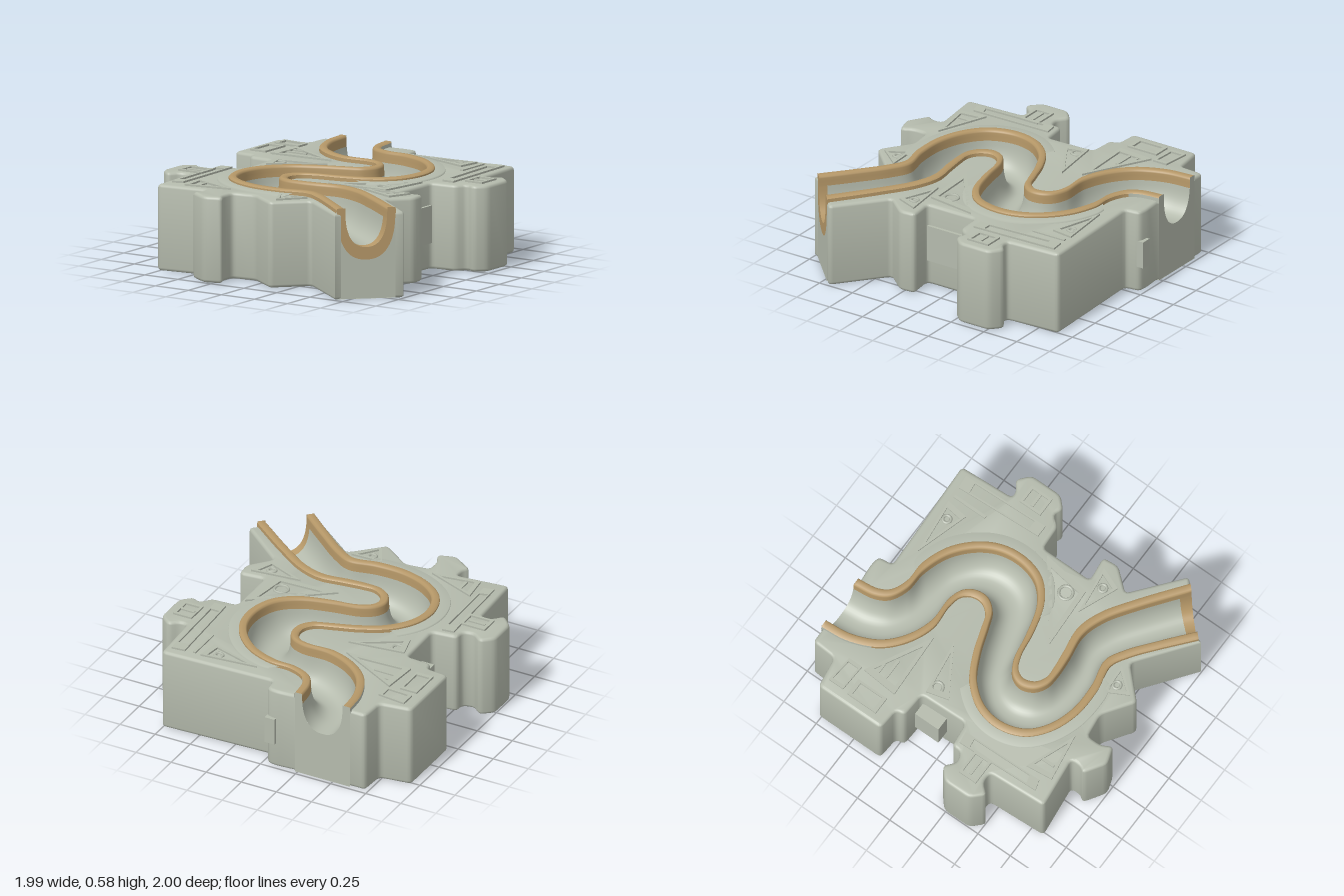
import * as THREE from 'three';
import { toCreasedNormals } from 'three/addons/utils/BufferGeometryUtils.js';

const TOP = 0.55, RIM_TOP = 0.582;
const stone = new THREE.MeshStandardMaterial({ color: 0xb5bbad, side: THREE.DoubleSide });
stone.name = 'greyStone';
const gold = new THREE.MeshStandardMaterial({ color: 0xb69868, side: THREE.DoubleSide });
gold.name = 'ochreRim';

// Matching points on the two rims of the winding channel: [x, z]
const railA = [[-.6, -.98], [-.58, -.8], [-.5, -.62], [-.37, -.5], [-.2, -.43], [-.02, -.43], [.07, -.4], [.115, -.34],
  [.12, -.26], [.07, -.19], [-.03, -.15], [-.2, -.09], [-.36, 0], [-.47, .14], [-.5, .3], [-.45, .46], [-.33, .57],
  [-.15, .635], [.05, .64], [.23, .61], [.35, .67], [.53, .81], [.71, .96]];
const railB = [[-.26, -.98], [-.24, -.84], [-.19, -.76], [-.08, -.71], [.07, -.7], [.25, -.63], [.39, -.5], [.46, -.36],
  [.47, -.2], [.42, -.06], [.3, .04], [.1, .1], [-.07, .13], [-.16, .18], [-.19, .25], [-.16, .33], [-.09, .375],
  [0, .38], [.12, .37], [.3, .35], [.46, .4], [.66, .53], [.94, .74]];
const curve = (pts) => new THREE.CatmullRomCurve3(pts.map(([x, z]) => new THREE.Vector3(x, 0, z)));
const curveA = curve(railA), curveB = curve(railB);
const LAST = railA.length - 1;

// Outer outlines of the two halves of the block, back to front
const outlineA = [[-.62, -.97], [-.73, -.97], [-.74, -.8], [-.95, -.77], [-.95, -.29], [-.8, -.28], [-.79, -.22], [-.62, -.21],
  [-.61, .12], [-.78, .14], [-.78, .21], [-.85, .23], [-.92, .17], [-1, .24], [-1, .43], [-.92, .51], [-.86, .44], [-.79, .44],
  [-.77, .84], [-.42, .8], [-.42, .87], [-.45, .91], [-.31, 1], [-.19, .96], [-.23, .89], [-.23, .79], [-.07, .77],
  [.13, .91], [.32, .72], [.69, 1]];
const outlineB = [[-.22, -.97], [-.1, -.98], [-.03, -.97], [-.02, -.87], [.76, -.9], [.78, -.53], [.83, -.53], [.89, -.58],
  [.97, -.51], [.97, -.29], [.9, -.22], [.84, -.25], [.79, -.18], [.62, -.17], [.62, .19], [.79, .17], [.8, .28],
  [.68, .42], [1, .68], [.96, .72]];

function add(group, name, geometry, material) {
  const mesh = new THREE.Mesh(geometry, material);
  mesh.name = name;
  group.add(mesh);
  return mesh;
}

// Softens the corners of an open outline
function roundCorners(pts, r = 0.03) {
  const v = pts.map(([x, z]) => new THREE.Vector2(x, -z));
  return v.flatMap((p, i) => {
    if (i === 0 || i === v.length - 1) return [p];
    const cut = (q) => p.clone().lerp(q, Math.min(0.4, r / p.distanceTo(q)));
    return new THREE.QuadraticBezierCurve(cut(v[i - 1]), p, cut(v[i + 1])).getPoints(3);
  });
}

// One half of the block, bounded inside by a rim curve
function halfBlock(outline, rail) {
  const inner = rail.getPoints(110).reverse().map((p) => new THREE.Vector2(p.x, -p.z));
  const shape = new THREE.Shape([...roundCorners(outline), ...inner]);
  const geo = new THREE.ExtrudeGeometry(shape, {
    depth: TOP - 0.04, bevelEnabled: true, bevelSize: 0.02, bevelThickness: 0.02, bevelOffset: -0.02, bevelSegments: 3,
  });
  geo.translate(0, 0, 0.02).rotateX(-Math.PI / 2);
  return toCreasedNormals(geo, 0.7);
}

// Surface through a grid of points
function grid(rows) {
  const n = rows[0].length, pos = [], index = [];
  rows.forEach((row) => row.forEach((p) => pos.push(p.x, p.y, p.z)));
  for (let i = 0; i < rows.length - 1; i++) for (let j = 0; j < n - 1; j++) {
    const a = i * n + j, b = a + n;
    index.push(a, a + 1, b, b, a + 1, b + 1);
  }
  const geo = new THREE.BufferGeometry();
  geo.setAttribute('position', new THREE.Float32BufferAttribute(pos, 3));
  geo.setIndex(index);
  geo.computeVertexNormals();
  return geo;
}

// Cross-section frame at t: maps a sideways distance and height to a point
function section(t) {
  const a = curveA.getPoint(t), b = curveB.getPoint(t);
  const mid = a.clone().add(b).multiplyScalar(0.5), w = a.distanceTo(b) / 2;
  const dir = b.clone().sub(a).normalize();
  return { w, at: (s, y) => mid.clone().addScaledVector(dir, s).setY(y) };
}
function sweep(profile, t0 = 0, t1 = 1, steps = 200) {
  const rows = [];
  for (let i = 0; i <= steps; i++) {
    const t = t0 + (t1 - t0) * i / steps, s = section(t);
    rows.push(profile(s.w, t).map(([d, y]) => s.at(d, y)));
  }
  return grid(rows);
}

// U-shaped trough profile between two angles
function trough(halfWidth, depth, from, to, n = 20) {
  return Array.from({ length: n + 1 }, (_, i) => {
    const a = from + (to - from) * i / n;
    return [Math.sign(a) * Math.abs(Math.sin(a)) ** 0.85 * halfWidth, RIM_TOP - depth * Math.max(0, Math.cos(a)) ** 0.75];
  });
}
const EDGE = 1.38;
const troughFloor = (w) => trough(w - 0.026, 0.25, -EDGE, EDGE, 24);

// Underside groove with rounded ends
const G0 = 0.09, G1 = 0.9;
const endFade = (t) => THREE.MathUtils.smoothstep(t, G0, G0 + 0.05) * (1 - THREE.MathUtils.smoothstep(t, G1 - 0.05, G1));
// The ochre edge of the groove is broad near the ends and narrow between
const grooveEdge = (t) => 1.4 - 0.3 * (1 - THREE.MathUtils.smoothstep(t, 0.18, 0.28) * (1 - THREE.MathUtils.smoothstep(t, 0.72, 0.8)));
function groove(w, t, from, to, n = 16) {
  const fade = endFade(t);
  return Array.from({ length: n + 1 }, (_, i) => {
    const a = from + (to - from) * i / n;
    return [Math.sin(a) * (w - 0.02) * Math.sqrt(fade), 0.004 + 0.2 * fade * Math.max(0, Math.cos(a)) ** 0.75];
  });
}

// End face of the channel: U-shaped lip with the block beneath
function endFace(group, name, t, lipMaterial) {
  const s = section(t), h = Math.PI / 2;
  const place = (list) => list.map(([d, y]) => s.at(d, y));
  const inner = trough(s.w - 0.026, 0.25, -h, h, 32), outer = trough(s.w + 0.026, 0.33, -h, h, 32);
  add(group, name + 'Lip', grid([place(inner), place(outer)]), lipMaterial);
  add(group, name + 'Face', grid([place(outer.map(([d, y]) => [d, Math.min(y, TOP)])), place(outer.map(([d]) => [d, 0.004]))]), stone);
}

// Low raised border following a polygon
function frame(group, name, pts, inset = 0.65) {
  const v = pts.map(([x, z]) => new THREE.Vector2(x, -z));
  const c = v.reduce((sum, p) => sum.add(p), new THREE.Vector2()).divideScalar(v.length);
  const shape = new THREE.Shape(v);
  shape.holes.push(new THREE.Path(v.map((p) => c.clone().lerp(p, inset)).reverse()));
  const geo = new THREE.ExtrudeGeometry(shape, { depth: 0.016, bevelEnabled: false });
  add(group, name, geo.rotateX(-Math.PI / 2).translate(0, TOP - 0.004, 0), stone);
}

export function createModel() {
  const model = new THREE.Group();
  model.name = 'channelTile';

  // Block halves
  add(model, 'leftBlock', halfBlock(outlineA, curveA), stone);
  add(model, 'rightBlock', halfBlock(outlineB, curveB), stone);

  // Channel floor, with an ochre strip at the front mouth
  add(model, 'channelFloor', sweep(troughFloor, 0, 0.99), stone);
  add(model, 'frontMouth', sweep(troughFloor, 0.99, 1, 2), gold);

  // Ochre rims and the underside
  for (const side of [-1, 1]) {
    const mirror = (list) => list.map(([d, y]) => [side * d, y]);
    add(model, 'channelRim', sweep((w) => mirror([[w + 0.028, 0.572], [w + 0.015, RIM_TOP], [w - 0.015, RIM_TOP],
      [w - 0.024, 0.572], ...trough(w - 0.026, 0.25, 1.54, EDGE, 3)])), gold);
    const rimWall = (w) => mirror([[w + 0.03, 0.535], [w + 0.028, 0.572]]);
    add(model, 'rimWallBack', sweep(rimWall, 0, 0.08, 16), stone);
    add(model, 'rimWall', sweep(rimWall, 0.08, 1), gold);
    add(model, 'underside', sweep((w, t) => mirror([[w + 0.025, 0.003], ...groove(w, t, Math.PI / 2, 1.52, 1)])), stone);
    add(model, 'undersideRim', sweep((w, t) => mirror(groove(w, t, 1.52, grooveEdge(t), 4)), G0, G1), gold);
  }
  add(model, 'undersideGroove', sweep((w, t) => groove(w, t, -grooveEdge(t), grooveEdge(t), 24), G0, G1), stone);
  for (const [a, b] of [[0, G0], [G1, 1]]) {
    add(model, 'undersideEnd', sweep((w) => [[-w, 0.003], [w, 0.003]], a, b, 20), stone);
  }
  endFace(model, 'backEnd', 0, stone);
  endFace(model, 'frontEnd', 1, gold);

  // Smooth raised bands around the outside of the bends
  const band = (side, i0, i1) => add(model, 'bendBand', sweep((w) => [[0.02, 0.562], [0.095, 0.562], [0.1, 0.545]]
    .map(([d, y]) => [side * (w + d), y]), i0 / LAST, i1 / LAST, 70), stone);
  band(-1, 12, 18.5);
  band(1, 3.5, 10.5);

  // Locking tabs in the recessed sides
  for (const [x, y, z, w, h, d] of [[-.65, .29, -.11, .11, .24, .18], [.62, .29, .015, .04, .24, .33], [-.065, .26, -.96, .07, .18, .08]]) {
    add(model, 'sideTab', new THREE.BoxGeometry(w, h, d), stone).position.set(x, y, z);
  }

  // Carved borders on the top
  const panels = [
    [[.14, -.79], [.52, -.83], [.5, -.68]], [[-.7, -.6], [-.27, -.37], [-.72, -.35]],
    [[-.59, -.2], [-.22, -.25], [-.55, -.05]], [[.12, .24], [.59, -.12], [.54, .22]],
    [[.4, .26], [.73, .22], [.67, .37]], [[.06, .7], [.27, .69], [.14, .85]],
    [[-.62, .6], [-.28, .73], [-.6, .78]], [[-.88, -.74], [-.69, -.72], [-.69, -.62], [-.88, -.63]],
    [[-.89, -.59], [-.77, -.59], [-.77, -.37], [-.89, -.37]], [[.63, -.83], [.72, -.84], [.74, -.24], [.66, -.24]],
    [[-.74, .17], [-.66, .16], [-.65, .72], [-.72, .74]], [[.78, -.47], [.91, -.47], [.91, -.31], [.78, -.31]],
    [[-.9, .28], [-.72, .28], [-.72, .41], [-.9, .41]],
  ];
  panels.forEach((p) => frame(model, 'carvedBorder', p, p.length === 3 ? 0.7 : 0.75));

  // Knots and ribs inside the borders
  for (const [x, z, r] of [[-.52, -.16, .035], [.46, .12, .045], [.62, .29, .025], [.15, .74, .025], [.42, -.77, .025]]) {
    const knot = add(model, 'carvedKnot', new THREE.TorusGeometry(r, 0.01, 6, 20), stone);
    knot.rotation.x = Math.PI / 2;
    knot.position.set(x, TOP, z);
  }
  for (const [x, z, w, d] of [[-.64, -.52, .13, .02], [-.6, -.46, .16, .02], [.85, -.39, .1, .02], [-.81, .345, .12, .02],
    [.57, -.7, .02, .24], [-.52, .69, .02, .1]]) {
    add(model, 'carvedRib', new THREE.BoxGeometry(w, 0.018, d), stone).position.set(x, TOP, z);
  }
  return model;
}
